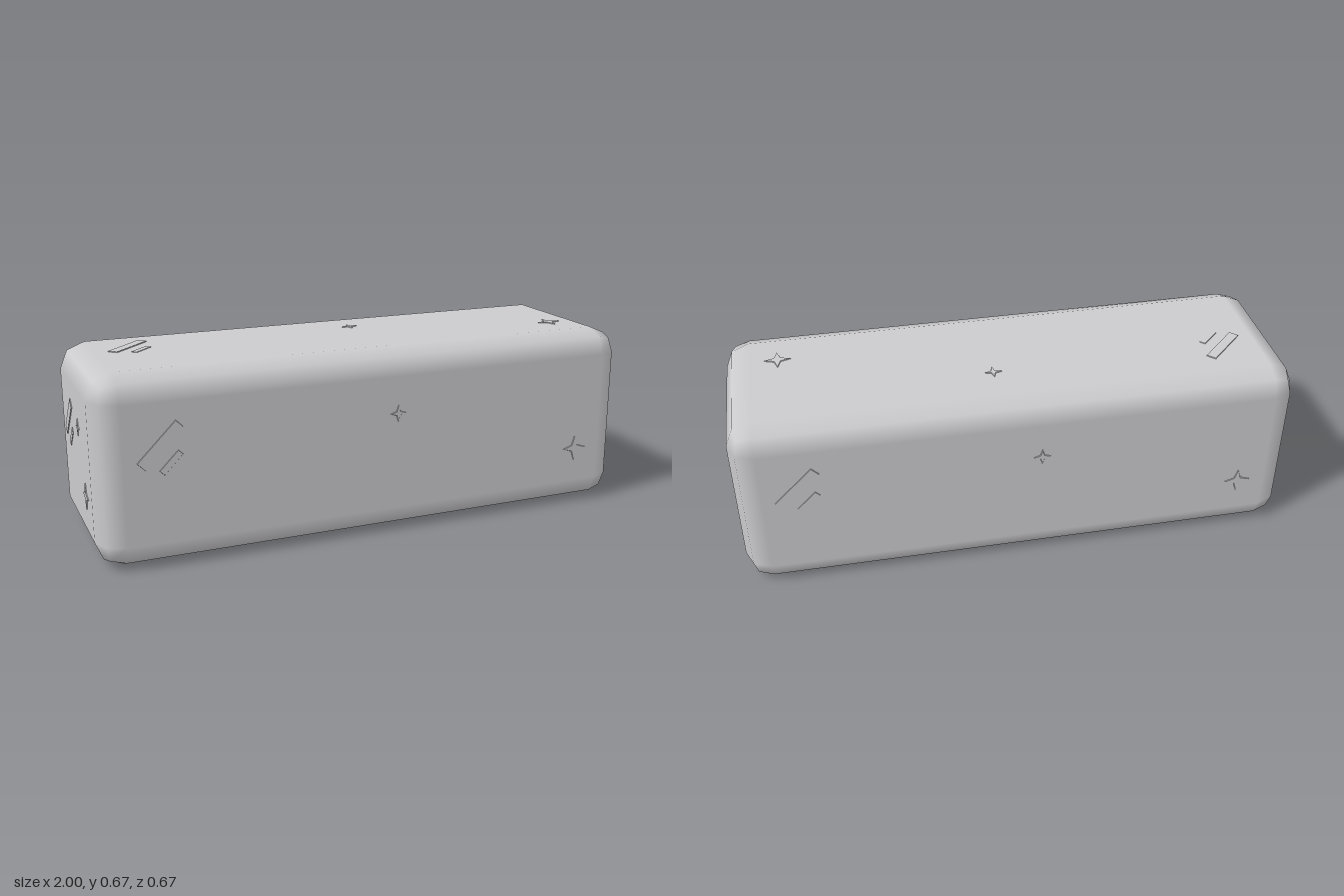
import * as THREE from 'three';
import { RoundedBoxGeometry } from 'three/addons/geometries/RoundedBoxGeometry.js';

const RELIEF = 0.003; // how far the glint marks stand out
const LENGTH = 2 - 2 * RELIEF, SIDE = 0.663;

// Extruded mark whose base sits slightly inside the face
function markGeometry(points, height, bevel) {
  const shape = new THREE.Shape(points.map(([x, y]) => new THREE.Vector2(x, y)));
  const geometry = new THREE.ExtrudeGeometry(shape, {
    depth: 0.002, bevelEnabled: true, bevelSegments: 1,
    bevelThickness: height, bevelSize: bevel, bevelOffset: -bevel,
  });
  return geometry.translate(0, 0, -0.002);
}

function barGeometry(length, width, height) {
  const l = length / 2, w = width / 2;
  return markGeometry([[-l, -w], [l, -w], [l, w], [-l, w]], height, 0.001).rotateZ(Math.PI / 4);
}

// Four-pointed sparkle
function starGeometry(radius) {
  const points = [];
  for (let i = 0; i < 8; i++) {
    const r = i % 2 ? radius * 0.36 : radius, a = i * Math.PI / 4;
    points.push([r * Math.cos(a), r * Math.sin(a)]);
  }
  return markGeometry(points, RELIEF, 0.002);
}

export function createModel() {
  const model = new THREE.Group();
  model.name = 'roundedBlock';
  const grey = new THREE.MeshStandardMaterial({ color: 0xcccccf });
  grey.name = 'pale grey';

  // Block with two-step rounded edges
  const body = new THREE.Mesh(new RoundedBoxGeometry(LENGTH, SIDE, SIDE, 1, 0.09), grey);
  body.name = 'body';
  body.position.y = SIDE / 2;
  model.add(body);

  // Marks: shift is the direction in which they move outward on long faces
  const marks = [
    { name: 'largeBar', geometry: barGeometry(0.188, 0.037, RELIEF), x: -0.115, y: 0.097, shift: -1 },
    { name: 'smallBar', geometry: barGeometry(0.092, 0.023, 0.002), x: -0.081, y: 0.034, shift: -1 },
    { name: 'smallStar', geometry: starGeometry(0.031), x: 0.066, y: 0.108, shift: 0 },
    { name: 'largeStar', geometry: starGeometry(0.048), x: 0.14, y: -0.113, shift: 1 },
  ];

  // Every face except the underside carries the same set
  const faces = [
    { name: 'front', rotation: [0, 0, 0], long: true },
    { name: 'back', rotation: [0, Math.PI, 0], long: true },
    { name: 'top', rotation: [-Math.PI / 2, 0, 0], long: true },
    { name: 'leftEnd', rotation: [0, Math.PI / 2, 0], long: false },
    { name: 'rightEnd', rotation: [0, -Math.PI / 2, 0], long: false },
  ];
  for (const face of faces) {
    const group = new THREE.Group();
    group.name = face.name + 'Marks';
    group.position.y = SIDE / 2;
    group.rotation.set(...face.rotation);
    for (const mark of marks) {
      const mesh = new THREE.Mesh(mark.geometry, grey);
      mesh.name = mark.name;
      mesh.position.set(
        mark.x + (face.long ? mark.shift * 0.667 : 0),
        mark.y,
        (face.long ? SIDE : LENGTH) / 2,
      );
      group.add(mesh);
    }
    model.add(group);
  }
  return model;
}
